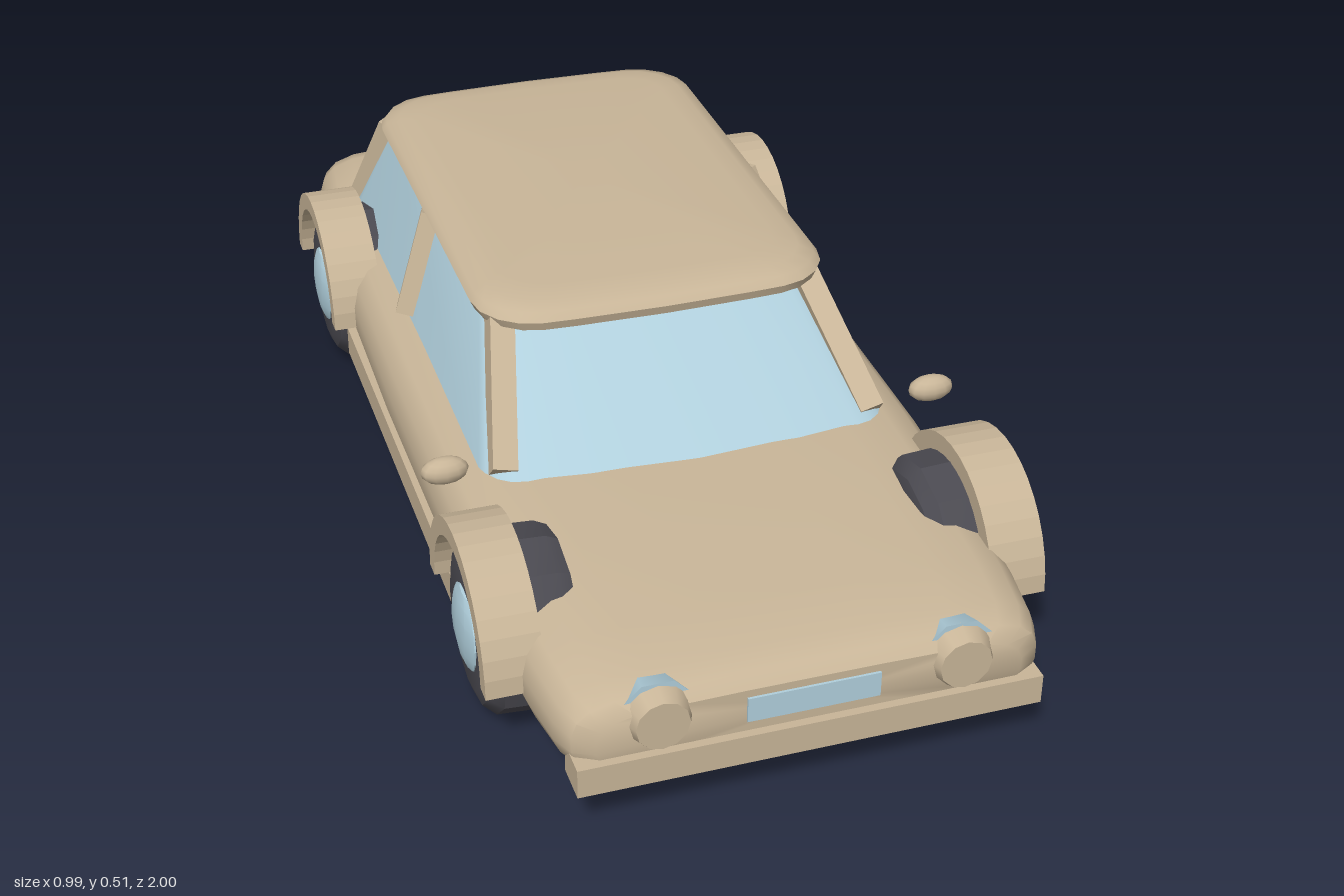
import * as THREE from 'three';
import { toCreasedNormals } from 'three/addons/utils/BufferGeometryUtils.js';

const mat = (name, color) => {
  const m = new THREE.MeshStandardMaterial({ color });
  m.name = name;
  return m;
};

// Closed skin over rings of points, capped at both ends
function loft(rings, crease = 0.75) {
  const n = rings[0].length, pos = [], idx = [];
  rings.forEach(r => r.forEach(p => pos.push(...p)));
  for (let i = 0; i < rings.length - 1; i++)
    for (let j = 0; j < n; j++) {
      const a = i * n + j, b = i * n + (j + 1) % n;
      idx.push(a, b, b + n, a, b + n, a + n);
    }
  for (const i of [0, rings.length - 1]) {
    const c = pos.length / 3;
    pos.push(...[0, 1, 2].map(k => rings[i].reduce((s, p) => s + p[k], 0) / n));
    for (let j = 0; j < n; j++) {
      const a = i * n + j, b = i * n + (j + 1) % n;
      i ? idx.push(a, b, c) : idx.push(b, a, c);
    }
  }
  // Signed volume tells whether the faces point outwards
  const v = i => new THREE.Vector3(pos[i * 3], pos[i * 3 + 1], pos[i * 3 + 2]);
  let vol = 0;
  for (let i = 0; i < idx.length; i += 3) vol += v(idx[i]).dot(v(idx[i + 1]).cross(v(idx[i + 2])));
  if (vol < 0) idx.reverse();
  const g = new THREE.BufferGeometry();
  g.setAttribute('position', new THREE.Float32BufferAttribute(pos, 3));
  g.setIndex(idx);
  return toCreasedNormals(g, crease);
}

// Rounded rectangle seen from above, with bowed front and back edges
function plan(y, hx, zf, zb, r, bow) {
  const pts = [];
  const corner = (sx, z, a0) => {
    for (let k = 0; k <= 4; k++) {
      const a = a0 + k * Math.PI / 8;
      pts.push([sx * (hx - r) + r * Math.cos(a), y, z + r * Math.sin(a)]);
    }
  };
  const edge = (z, s) => [0.5, 0, -0.5].forEach(f => pts.push([s * f * hx, y, z]));
  corner(1, zf - r, 0);
  edge(zf, 1);
  corner(-1, zf - r, Math.PI / 2);
  corner(-1, zb + r, Math.PI);
  edge(zb, -1);
  corner(1, zb + r, 1.5 * Math.PI);
  const mid = (zf + zb) / 2;
  return pts.map(([x, , z]) => [x, y, z + Math.sign(z - mid) * bow * (1 - (x / hx) ** 2) *
    Math.min(1, Math.abs(z - mid) / ((zf - zb) / 2))]);
}

// Body cross-section at one station along the length
function section([z, w, top, bottom]) {
  const h = top - bottom;
  const half = [[0.3, 1], [0.62, 0.985], [0.82, 0.95], [0.92, 0.87], [0.975, 0.74], [1, 0.56],
    [1, 0.35], [0.97, 0.16], [0.91, 0.04], [0.8, 0]].map(([x, y]) => [x * w, bottom + y * h, z]);
  return [...half, ...half.map(([x, y]) => [-x, y, z]).reverse()];
}

export function createModel() {
  const car = new THREE.Group();
  car.name = 'car';
  const paint = mat('tan paint', 0xc8b598), glass = mat('pale blue glass', 0xb0cfdc);
  const rubber = mat('dark rubber', 0x4b4a51), amber = mat('amber lamp', 0xbb7533);
  const add = (name, geo, material, x = 0, y = 0, z = 0) => {
    const m = new THREE.Mesh(geo, material);
    m.name = name;
    m.position.set(x, y, z);
    car.add(m);
    return m;
  };
  const box = (name, material, w, h, d, x, y, z) =>
    add(name, new THREE.BoxGeometry(w, h, d), material, x, y, z);
  const pillar = (name, a, b, w, d, yaw = 0) => {
    const p = new THREE.Vector3(...a), q = new THREE.Vector3(...b);
    const dir = q.clone().sub(p);
    const g = new THREE.BoxGeometry(w, dir.length(), d).rotateY(yaw);
    const m = add(name, g, paint);
    m.position.copy(p).add(q).multiplyScalar(0.5);
    m.quaternion.setFromUnitVectors(new THREE.Vector3(0, 1, 0), dir.normalize());
  };

  // Lower body: z, half width, top, bottom
  add('body', loft([
    [0.985, 0.36, 0.225, 0.12], [0.965, 0.395, 0.245, 0.105], [0.92, 0.412, 0.257, 0.095],
    [0.82, 0.426, 0.267, 0.088], [0.6, 0.442, 0.278, 0.08], [0.35, 0.45, 0.287, 0.076],
    [-0.1, 0.452, 0.29, 0.075], [-0.55, 0.445, 0.289, 0.08], [-0.82, 0.43, 0.287, 0.088],
    [-0.93, 0.418, 0.284, 0.096], [-0.97, 0.405, 0.274, 0.105], [-0.985, 0.38, 0.258, 0.12],
  ].map(section)), paint);

  // Cabin glass and roof
  add('cabinGlass', loft([
    plan(0.25, 0.385, 0.425, -0.785, 0.07, 0.05), plan(0.47, 0.305, 0.13, -0.7, 0.06, 0.025),
  ], 0.5), glass);
  add('roof', loft([
    plan(0.455, 0.3, 0.185, -0.705, 0.09, 0.015), plan(0.465, 0.322, 0.208, -0.727, 0.1, 0.015),
    plan(0.482, 0.33, 0.213, -0.733, 0.105, 0.015), plan(0.496, 0.32, 0.2, -0.725, 0.1, 0.015),
    plan(0.505, 0.295, 0.175, -0.7, 0.09, 0.015), plan(0.51, 0.255, 0.13, -0.66, 0.07, 0.01),
  ]), paint);

  // Bumpers and grille
  box('frontBumper', paint, 0.79, 0.054, 0.07, 0, 0.118, 0.965);
  box('rearBumper', paint, 0.8, 0.052, 0.065, 0, 0.131, -0.9675);
  box('grille', glass, 0.225, 0.046, 0.009, 0, 0.188, 0.985);

  // Half-ring wheel arch, running along x
  const ring = new THREE.Shape();
  ring.absarc(0, 0, 0.194, 0, Math.PI, false);
  ring.absarc(0, 0, 0.16, Math.PI, 0, true);
  const archGeo = new THREE.ExtrudeGeometry(ring, { depth: 0.1, bevelEnabled: false, curveSegments: 9 })
    .translate(0, 0, -0.05).rotateY(Math.PI / 2);

  // Tyre profile turned around x
  const tyreGeo = toCreasedNormals(new THREE.LatheGeometry([
    [0, -0.085], [0.11, -0.085], [0.135, -0.077], [0.155, -0.055], [0.158, 0],
    [0.155, 0.055], [0.145, 0.077], [0.11, 0.085], [0, 0.085],
  ].map(p => new THREE.Vector2(...p)), 12).rotateZ(-Math.PI / 2), 0.45);
  const hubGeo = toCreasedNormals(new THREE.SphereGeometry(0.078, 10, 8).scale(0.25, 1, 1), 0.3);
  const lampGeo = new THREE.CylinderGeometry(0.07, 0.048, 0.065, 8).rotateX(Math.PI / 2).rotateZ(Math.PI / 8);
  const rimGeo = new THREE.CylinderGeometry(0.045, 0.06, 0.035, 12).rotateX(Math.PI / 2);

  for (const s of [1, -1]) {
    const side = s > 0 ? 'left' : 'right';
    for (const [end, z] of [['Front', 0.61], ['Rear', -0.61]]) {
      add(side + end + 'Tyre', tyreGeo, rubber, s * 0.39, 0.158, z);
      add(side + end + 'Hubcap', hubGeo, glass, s * 0.472, 0.158, z);
      add(side + end + 'Arch', archGeo, paint, s * 0.44, 0.155, z);
    }
    box(side + 'Sill', paint, 0.05, 0.06, 0.91, s * 0.434, 0.106, 0);

    // Roof pillars
    pillar(side + 'FrontPillar', [s * 0.343, 0.28, 0.365], [s * 0.285, 0.472, 0.14], 0.045, 0.045);
    pillar(side + 'MiddlePillar', [s * 0.378, 0.28, -0.245], [s * 0.312, 0.472, -0.275], 0.035, 0.075, s * 0.3);
    pillar(side + 'RearPillar', [s * 0.355, 0.28, -0.745], [s * 0.298, 0.472, -0.665], 0.04, 0.05, s * 2.4);

    // Lamps and mirrors
    add(side + 'Headlamp', lampGeo, glass, s * 0.255, 0.197, 0.938);
    add(side + 'HeadlampRim', rimGeo, paint, s * 0.255, 0.2, 0.982);
    box(side + 'TailLamp', amber, 0.145, 0.058, 0.009, s * 0.243, 0.221, -0.986);
    add(side + 'Mirror', new THREE.SphereGeometry(0.025, 12, 8).scale(1.7, 1, 0.95), paint, s * 0.45, 0.322, 0.385);
  }
  return car;
}
